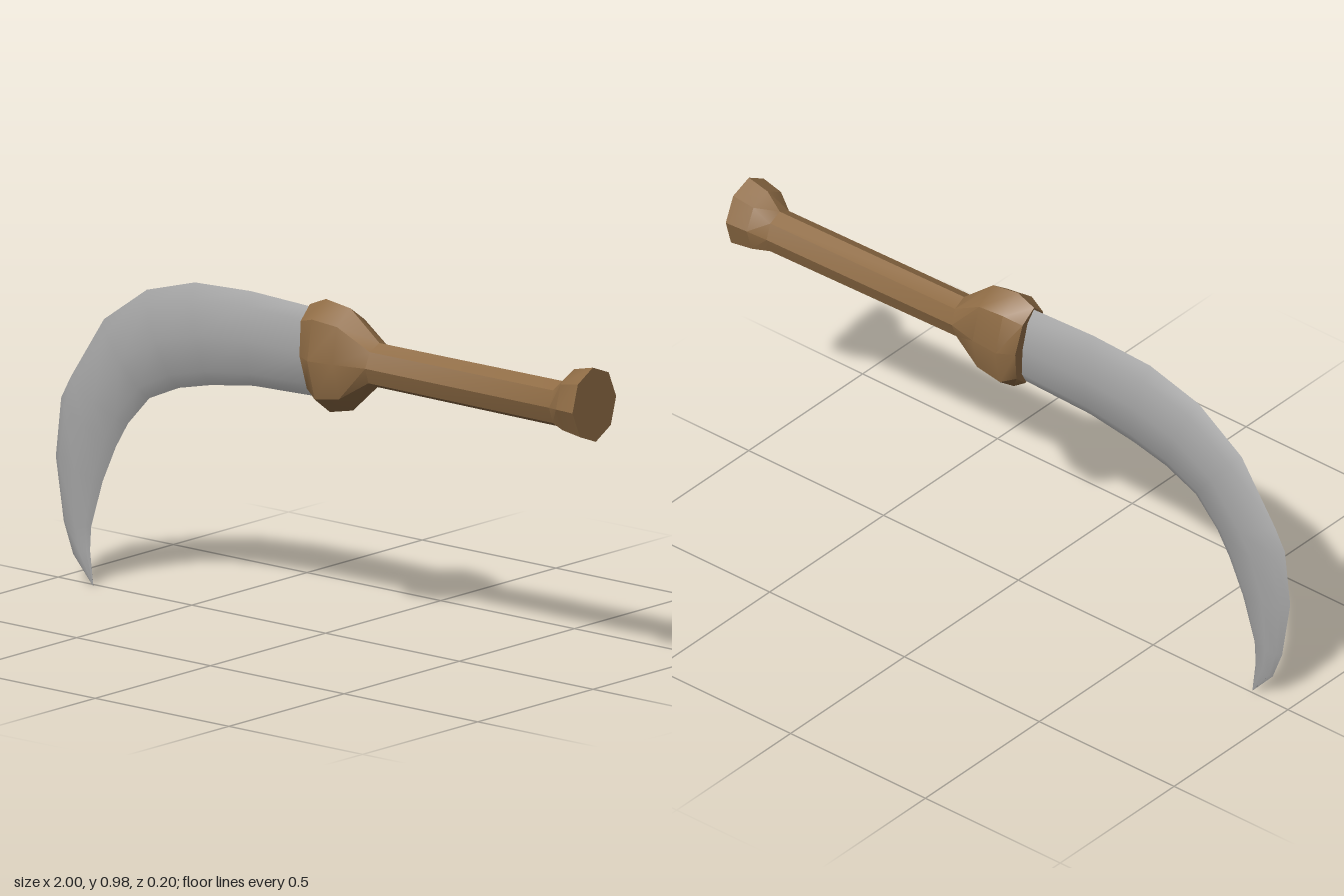
import * as THREE from 'three';
import { toCreasedNormals } from 'three/addons/utils/BufferGeometryUtils.js';

const SIDES = 8;

// Closed loft. Each ring: [topX, topY, bottomX, bottomY, centreZ, halfZ, twist]
function loft(rings) {
  const pos = [];
  const points = rings.map(([tx, ty, bx, by, cz, hz, twist = 0]) => {
    const ring = [];
    for (let j = 0; j < SIDES; j++) {
      const a = (j / SIDES) * Math.PI * 2 + twist;
      const t = (1 - Math.cos(a)) / 2;
      ring.push([tx + (bx - tx) * t, ty + (by - ty) * t, cz + hz * Math.sin(a)]);
    }
    return ring;
  });
  const tri = (a, b, c) => pos.push(...a, ...b, ...c);
  const middle = ([tx, ty, bx, by, cz]) => [(tx + bx) / 2, (ty + by) / 2, cz];
  const last = rings.length - 1;
  for (let j = 0; j < SIDES; j++) {
    const k = (j + 1) % SIDES;
    for (let i = 0; i < last; i++) {
      const p = points[i], q = points[i + 1];
      tri(p[j], p[k], q[j]);
      tri(p[k], q[k], q[j]);
    }
    tri(middle(rings[0]), points[0][k], points[0][j]);
    tri(middle(rings[last]), points[last][j], points[last][k]);
  }
  const g = new THREE.BufferGeometry();
  g.setAttribute('position', new THREE.Float32BufferAttribute(pos, 3));
  return toCreasedNormals(g, 0.6);
}

export function createModel() {
  const steel = new THREE.MeshStandardMaterial({ color: 0xa6a6a6 });
  steel.name = 'steel';
  const wood = new THREE.MeshStandardMaterial({ color: 0x8f6c45 });
  wood.name = 'wood';

  const model = new THREE.Group();
  model.name = 'sickle';

  // Curved blade, from the tip to the guard
  const blade = new THREE.Mesh(loft([
    [-0.862, 0, -0.86, 0, 0.01, 0.001],
    [-0.935, 0.08, -0.872, 0.1, 0.01, 0.009],
    [-0.97, 0.17, -0.868, 0.17, 0.01, 0.014],
    [-1, 0.355, -0.825, 0.31, 0.01, 0.022],
    [-0.98, 0.53, -0.775, 0.42, 0.01, 0.027],
    [-0.945, 0.595, -0.73, 0.495, 0.01, 0.029],
    [-0.82, 0.785, -0.65, 0.582, 0.01, 0.033],
    [-0.66, 0.897, -0.54, 0.63, 0.01, 0.035],
    [-0.48, 0.948, -0.42, 0.658, 0.01, 0.035],
    [-0.27, 0.957, -0.26, 0.682, 0.01, 0.034],
    [-0.03, 0.948, -0.01, 0.69, 0.01, 0.032],
  ]), steel);
  blade.name = 'blade';
  model.add(blade);

  // Faceted handle: flared guard, slim grip and pommel
  const handle = new THREE.Mesh(loft([
    [-0.05, 0.955, -0.018, 0.682, 0.01, 0.064],
    [0.01, 0.98, 0.025, 0.652, 0.01, 0.09],
    [0.1, 0.967, 0.11, 0.67, 0.008, 0.085],
    [0.205, 0.882, 0.198, 0.752, 0.004, 0.058],
    [0.88, 0.88, 0.88, 0.745, -0.006, 0.058],
    [0.93, 0.924, 0.93, 0.731, -0.006, 0.086, 0.07],
    [1, 0.94, 1, 0.72, -0.006, 0.095, 0.07],
  ]), wood);
  handle.name = 'handle';
  model.add(handle);

  return model;
}
